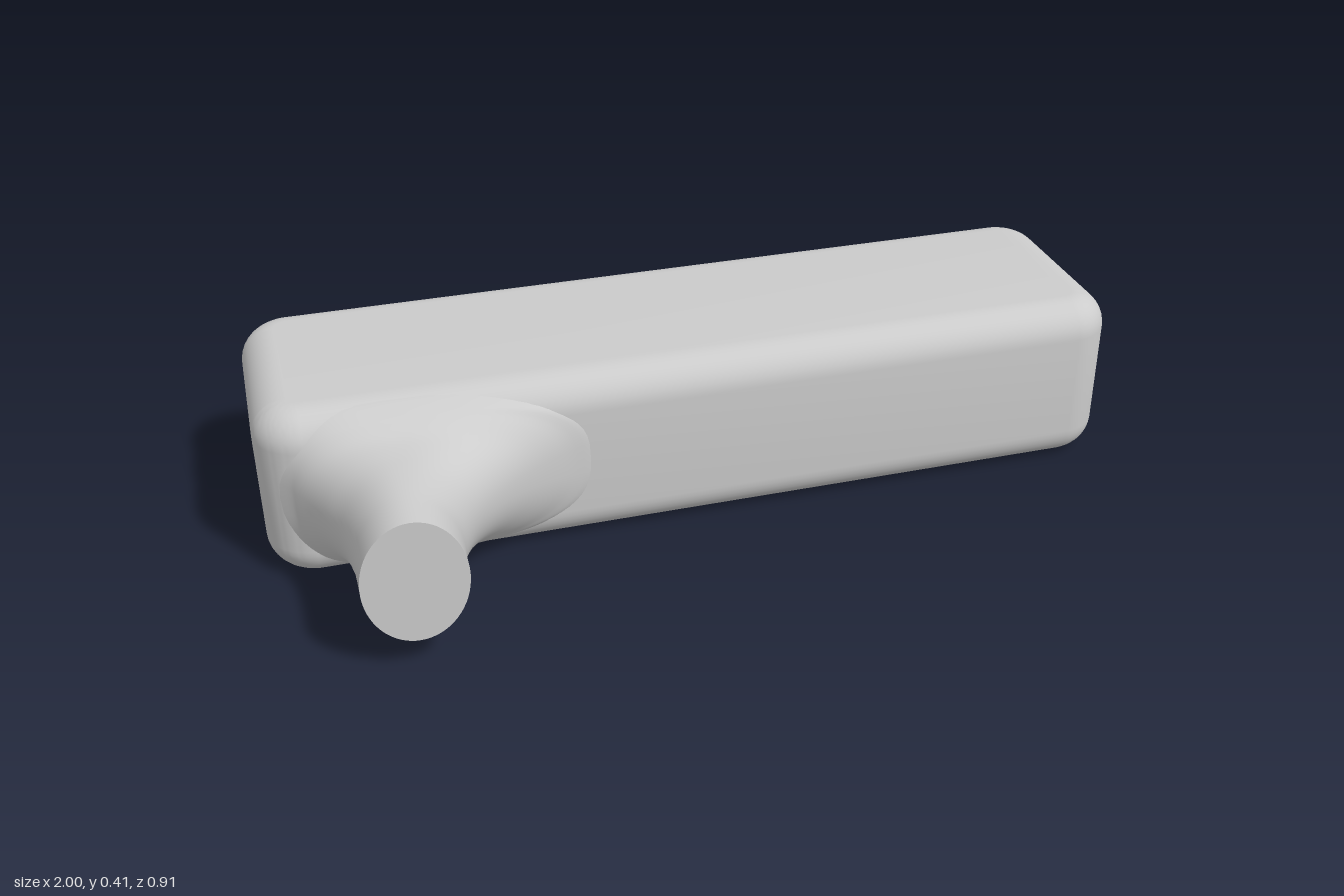
import * as THREE from 'three';
import { toCreasedNormals } from 'three/addons/utils/BufferGeometryUtils.js';

const material = new THREE.MeshStandardMaterial({ color: 0xcccccc });

// Long bar: a rounded plan extruded upwards with rounded edges
function createBar() {
  const edge = 0.08, corner = 0.03;
  const x = 1 - edge, z0 = -0.095 + edge, z1 = 0.455 - edge;
  const plan = new THREE.Shape();
  plan.absarc(x - corner, z0 + corner, corner, -Math.PI / 2, 0);
  plan.absarc(x - corner, z1 - corner, corner, 0, Math.PI / 2);
  plan.absarc(-x + corner, z1 - corner, corner, Math.PI / 2, Math.PI);
  plan.absarc(-x + corner, z0 + corner, corner, Math.PI, Math.PI * 1.5);
  const geometry = new THREE.ExtrudeGeometry(plan, {
    depth: 0.41 - 2 * edge, curveSegments: 10,
    bevelSize: edge, bevelThickness: edge, bevelSegments: 10,
  });
  geometry.rotateX(-Math.PI / 2).translate(0, edge, 0);
  const bar = new THREE.Mesh(toCreasedNormals(geometry, 0.6), material);
  bar.name = 'bar';
  return bar;
}

// Stub: an oval section that flares unevenly into the bar
function createStub() {
  const cx = -0.725, cy = 0.217, sides = 64, steps = 40;
  // z, reach to -x, +x, top and bottom, squareness of the section
  const sections = [
    [0.02, 0.265, 0.48, 0.189, 0.213, 3.0],
    [0.05, 0.253, 0.475, 0.186, 0.21, 3.0],
    [0.09, 0.215, 0.45, 0.172, 0.188, 2.9],
    [0.11, 0.2, 0.385, 0.164, 0.178, 2.7],
    [0.15, 0.174, 0.295, 0.15, 0.16, 2.4],
    [0.2, 0.149, 0.222, 0.144, 0.147, 2.2],
    [0.26, 0.127, 0.165, 0.143, 0.143, 2.05],
    [0.34, 0.113, 0.123, 0.143, 0.143, 2],
    [0.4, 0.11, 0.112, 0.143, 0.143, 2],
    [0.455, 0.11, 0.11, 0.143, 0.143, 2],
  ];
  const sample = (k, t) => {
    const f = t * (sections.length - 1);
    const i = Math.min(Math.floor(f), sections.length - 2);
    const at = (n) => sections[Math.max(0, Math.min(sections.length - 1, n))][k];
    const u = f - i, m0 = (at(i + 1) - at(i - 1)) / 2, m1 = (at(i + 2) - at(i)) / 2;
    return (2 * u ** 3 - 3 * u * u + 1) * at(i) + (u ** 3 - 2 * u * u + u) * m0
      + (3 * u * u - 2 * u ** 3) * at(i + 1) + (u ** 3 - u * u) * m1;
  };
  const positions = [], indices = [];
  for (let i = 0; i <= steps; i++) {
    const [z, left, right, top, bottom, power] = [0, 1, 2, 3, 4, 5].map((k) => sample(k, i / steps));
    for (let j = 0; j < sides; j++) {
      const a = (j / sides) * Math.PI * 2, c = Math.cos(a), s = Math.sin(a);
      positions.push(
        cx + Math.sign(c) * Math.abs(c) ** (2 / power) * (c > 0 ? right : left),
        cy + Math.sign(s) * Math.abs(s) ** (2 / power) * (s > 0 ? top : bottom), z);
      if (i < steps) {
        const p = i * sides + j, q = i * sides + (j + 1) % sides;
        indices.push(p, q, q + sides, p, q + sides, p + sides);
      }
    }
  }
  const geometry = new THREE.BufferGeometry();
  geometry.setAttribute('position', new THREE.Float32BufferAttribute(positions, 3));
  geometry.setIndex(indices);
  geometry.computeVertexNormals();
  const flare = new THREE.Mesh(geometry, material);
  flare.name = 'flaredStub';

  // Flat oval end
  const cap = new THREE.Mesh(new THREE.CircleGeometry(1, sides), material);
  cap.scale.set(0.11, 0.143, 1);
  cap.position.set(cx, cy, 0.455);
  cap.name = 'stubEnd';

  const stub = new THREE.Group();
  stub.name = 'stub';
  stub.add(flare, cap);
  return stub;
}

export function createModel() {
  const model = new THREE.Group();
  model.name = 'barWithStub';
  model.add(createBar(), createStub());
  return model;
}
